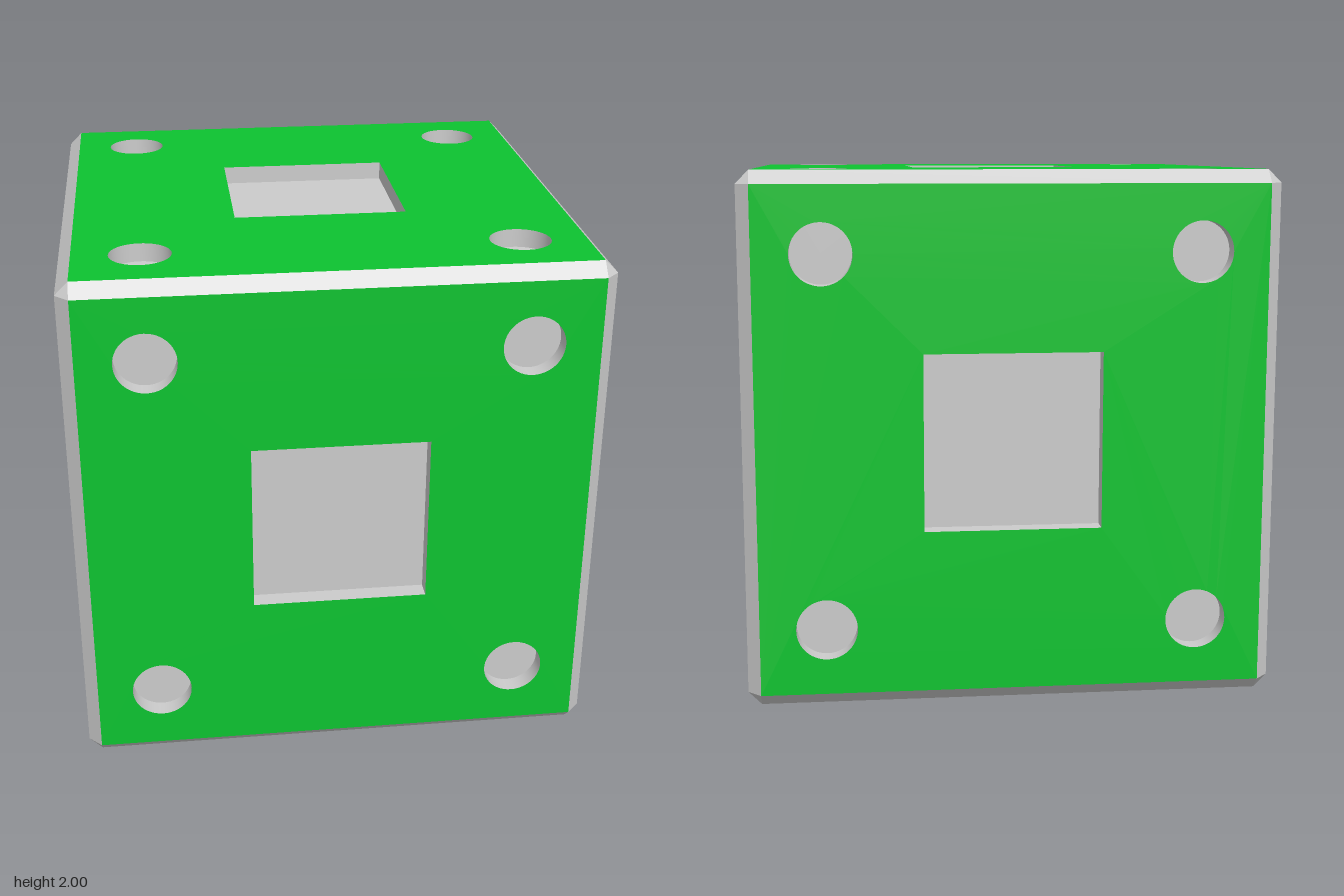
import * as THREE from 'three';

const HALF = 1, BEVEL = 0.05, FLAT = HALF - BEVEL;
const DEPTH = 0.07, SQUARE = 1 / 3, HOLE_R = 0.115, HOLE_POS = 0.7;

export function createModel() {
  const model = new THREE.Group();
  const cube = new THREE.Group();
  cube.name = 'cube';
  cube.position.y = HALF;
  model.add(cube);

  const green = new THREE.MeshStandardMaterial({ color: 0x0dc330 });
  const grey = new THREE.MeshStandardMaterial({ color: 0xcccccc });
  const wall = new THREE.MeshStandardMaterial({ color: 0xcccccc, side: THREE.BackSide });
  const flatWall = new THREE.MeshStandardMaterial({ color: 0xcccccc, side: THREE.BackSide, flatShading: true });

  const add = (parent, name, geometry, material, x = 0, y = 0, z = 0) => {
    const mesh = new THREE.Mesh(geometry, material);
    mesh.name = name;
    mesh.position.set(x, y, z);
    parent.add(mesh);
    return mesh;
  };
  const square = (path, s) => path.moveTo(-s, -s).lineTo(s, -s).lineTo(s, s).lineTo(-s, s).closePath();
  const corners = [[1, 1], [-1, 1], [-1, -1], [1, -1]];

  // Face plate outline with a square window and four round holes
  const plate = square(new THREE.Shape(), FLAT);
  plate.holes.push(square(new THREE.Path(), SQUARE));
  for (const [a, b] of corners) {
    plate.holes.push(new THREE.Path().absarc(a * HOLE_POS, b * HOLE_POS, HOLE_R, 0, Math.PI * 2, true));
  }
  const plateGeo = new THREE.ShapeGeometry(plate, 24);
  const holeWallGeo = new THREE.CylinderGeometry(HOLE_R, HOLE_R, DEPTH, 48, 1, true).rotateX(Math.PI / 2);
  const holeFloorGeo = new THREE.CircleGeometry(HOLE_R, 48);
  const pocketWallGeo = new THREE.CylinderGeometry(SQUARE * Math.SQRT2, SQUARE * Math.SQRT2, DEPTH, 4, 1, true)
    .rotateY(Math.PI / 4).rotateX(Math.PI / 2);
  const pocketFloorGeo = new THREE.PlaneGeometry(SQUARE * 2, SQUARE * 2);

  // Six identical faces with their recesses
  const q = Math.PI / 2;
  const faces = {
    front: [0, 0], right: [0, -q], back: [0, 2 * q], left: [0, q], top: [-q, 0], bottom: [q, 0],
  };
  for (const [side, [rx, ry]] of Object.entries(faces)) {
    const face = new THREE.Group();
    face.name = side + 'Face';
    face.rotation.set(rx, ry, 0);
    cube.add(face);
    add(face, 'facePlate', plateGeo, green, 0, 0, HALF);
    add(face, 'pocketWalls', pocketWallGeo, flatWall, 0, 0, HALF - DEPTH / 2);
    add(face, 'pocketFloor', pocketFloorGeo, grey, 0, 0, HALF - DEPTH);
    for (const [a, b] of corners) {
      add(face, 'holeWall', holeWallGeo, wall, a * HOLE_POS, b * HOLE_POS, HALF - DEPTH / 2);
      add(face, 'holeFloor', holeFloorGeo, grey, a * HOLE_POS, b * HOLE_POS, HALF - DEPTH);
    }
  }

  // Twelve bevelled edges: four around each axis
  const edgeGeo = new THREE.PlaneGeometry(BEVEL * Math.SQRT2, FLAT * 2)
    .translate(0, 0, (HALF + FLAT) / Math.SQRT2);
  const axes = { vertical: [0, 0, 0], sideways: [0, 0, q], lengthwise: [q, 0, 0] };
  for (const [axis, rotation] of Object.entries(axes)) {
    const edges = new THREE.Group();
    edges.name = axis + 'Edges';
    edges.rotation.set(...rotation);
    cube.add(edges);
    for (let i = 0; i < 4; i++) {
      add(edges, 'bevelEdge', edgeGeo, grey).rotation.y = Math.PI / 4 + i * q;
    }
  }

  // Eight triangular corner facets
  for (const x of [-1, 1]) for (const y of [-1, 1]) for (const z of [-1, 1]) {
    const pts = [[HALF, FLAT, FLAT], [FLAT, HALF, FLAT], [FLAT, FLAT, HALF]]
      .map(([a, b, c]) => new THREE.Vector3(a * x, b * y, c * z));
    if (x * y * z < 0) pts.reverse();
    const geometry = new THREE.BufferGeometry().setFromPoints(pts);
    geometry.computeVertexNormals();
    add(cube, 'cornerFacet', geometry, grey);
  }

  return model;
}
